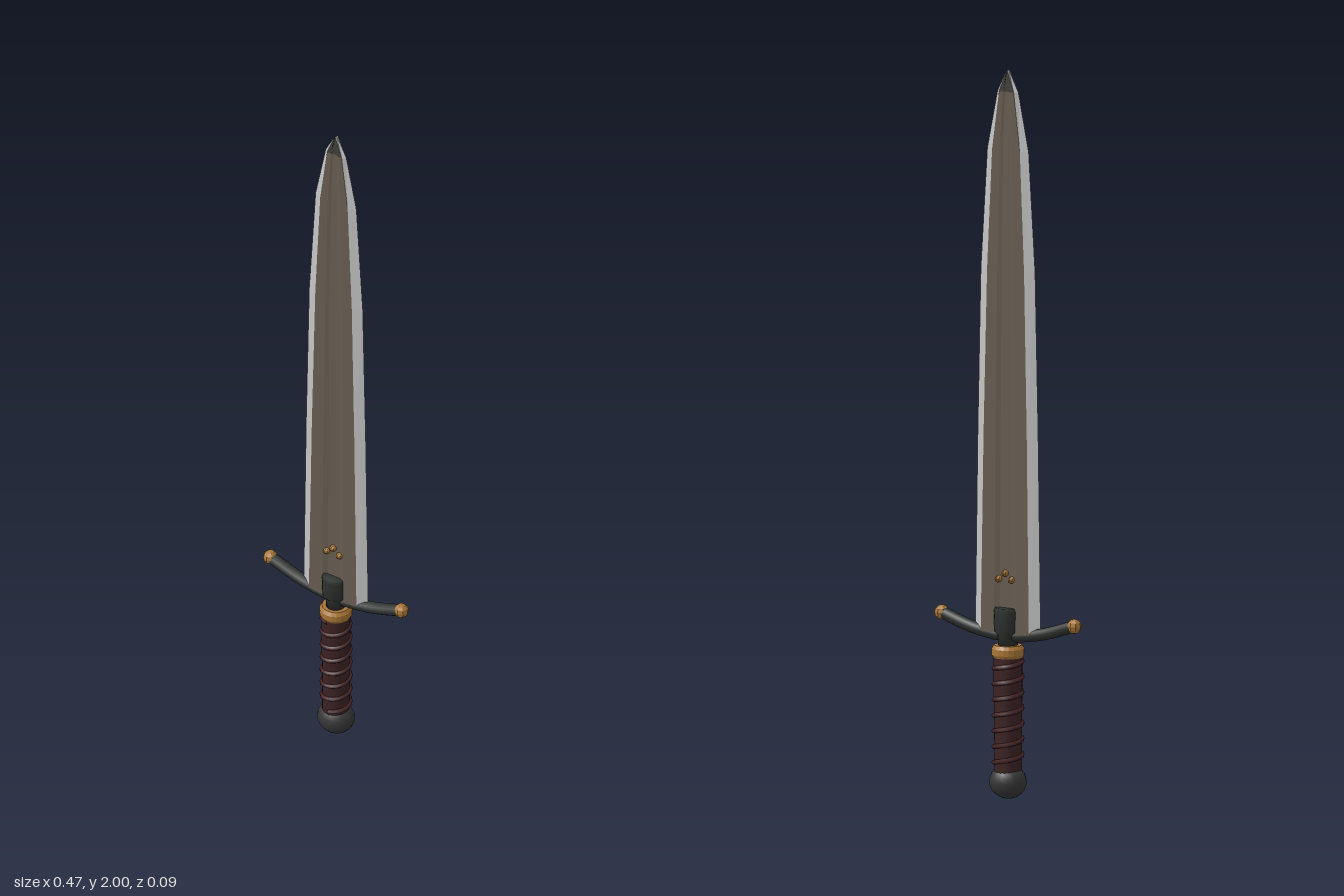
import * as THREE from 'three';

const mat = (name, color, extra = {}) => {
  const m = new THREE.MeshStandardMaterial({ color });
  m.name = name;
  return Object.assign(m, extra);
};

export function createModel() {
  const root = new THREE.Group();
  root.name = 'sword';
  const edgeSteel = mat('edgeSteel', 0xc4c4c4, { flatShading: true });
  const faceSteel = mat('faceSteel', 0x665c50, { flatShading: true });
  const tipSteel = mat('tipSteel', 0x403f3b, { flatShading: true });
  const iron = mat('darkIron', 0x2d312e);
  const pommelIron = mat('pommelIron', 0x363636);
  const brass = mat('brass', 0xa87636, { flatShading: true });
  const leather = mat('leather', 0x3c2223);
  const cord = mat('leatherCord', 0x452527);

  const add = (parent, name, geo, material, x = 0, y = 0, z = 0) => {
    const m = new THREE.Mesh(geo, material);
    m.name = name;
    m.position.set(x, y, z);
    parent.add(m);
    return m;
  };

  // Blade stations: height, half width, half width of the flat, half thickness
  const stations = [
    [0.455, 0.106, 0.078, 0.016],
    [1.0, 0.098, 0.07, 0.014],
    [1.45, 0.088, 0.06, 0.012],
    [1.78, 0.067, 0.045, 0.01],
    [1.94, 0.034, 0.024, 0.008],
    [2.0, 0.002, 0.001, 0.006],
  ];
  // One side of the cross-section: bevel, flat, shallow fuller, flat, bevel
  const section = ([y, w, f, t]) => [
    [-w, 0], [-f, t], [-f * 0.45, t], [-f * 0.25, t * 0.7],
    [f * 0.25, t * 0.7], [f * 0.45, t], [f, t], [w, 0],
  ].map(([x, z]) => new THREE.Vector3(x, y, z));

  // Skin of chosen section strips between two stations
  const skin = (strips, from, to) => {
    const pts = [];
    for (let s = from; s < to; s++) {
      const a = section(stations[s]), b = section(stations[s + 1]);
      for (const i of strips) pts.push(a[i], a[i + 1], b[i + 1], a[i], b[i + 1], b[i]);
    }
    const g = new THREE.BufferGeometry().setFromPoints(pts);
    g.computeVertexNormals();
    return g;
  };

  // Each blade side carries its bevels, flat and three rivets
  for (const side of ['front', 'back']) {
    const half = new THREE.Group();
    half.name = side + 'Blade';
    half.rotation.y = side === 'back' ? Math.PI : 0;
    root.add(half);
    add(half, 'cuttingEdges', skin([0, 6], 0, 5), edgeSteel);
    add(half, 'bladeFace', skin([1, 2, 3, 4, 5], 0, 4), faceSteel);
    add(half, 'bladeTip', skin([1, 2, 3, 4, 5], 4, 5), tipSteel);
    for (const [x, y] of [[-0.021, 0.603], [0, 0.62], [0.021, 0.603]]) {
      const r = add(half, 'rivet', new THREE.SphereGeometry(0.0095, 8, 6), brass, x, y, 0.013);
      r.scale.z = 1.35;
    }
  }

  // Upswept crossguard with brass finials
  const arc = new THREE.CatmullRomCurve3([
    [-0.215, 0.492], [-0.11, 0.46], [0, 0.447], [0.11, 0.46], [0.215, 0.492],
  ].map(([x, y]) => new THREE.Vector3(x, y, 0)));
  add(root, 'crossguard', new THREE.TubeGeometry(arc, 24, 0.017, 10), iron);
  for (const s of [-1, 1]) {
    add(root, 'guardFinial', new THREE.SphereGeometry(0.0205, 8, 6), brass, s * 0.215, 0.492, 0);
  }

  // Guard block that clasps the blade root
  const block = [[0, 0.42], [0.028, 0.42], [0.029, 0.45], [0.038, 0.46], [0.04, 0.515], [0.036, 0.525], [0, 0.525]];
  add(root, 'guardBlock', new THREE.LatheGeometry(
    block.map(([r, y]) => new THREE.Vector2(r, y)), 20), iron).scale.x = 0.95;

  // Brass collar
  const collar = [[0, 0.388], [0.041, 0.388], [0.045, 0.396], [0.045, 0.412], [0.038, 0.422], [0, 0.422]];
  add(root, 'collar', new THREE.LatheGeometry(
    collar.map(([r, y]) => new THREE.Vector2(r, y)), 20), brass);

  // Grip and its spiral cord
  add(root, 'grip', new THREE.CylinderGeometry(0.039, 0.038, 0.32, 20), leather, 0, 0.232, 0);
  const turns = 7, spiral = [];
  for (let i = 0; i <= turns * 12; i++) {
    const a = (i / 12) * Math.PI * 2;
    spiral.push(new THREE.Vector3(
      Math.sin(a) * 0.038, 0.085 + (0.3 * i) / (turns * 12), Math.cos(a) * 0.038));
  }
  add(root, 'gripCord', new THREE.TubeGeometry(
    new THREE.CatmullRomCurve3(spiral), turns * 20, 0.007, 6), cord);

  // Pommel, slightly flattened front to back
  const pommel = add(root, 'pommel', new THREE.SphereGeometry(0.053, 18, 12), pommelIron, 0, 0.047, 0);
  pommel.scale.set(1, 0.047 / 0.053, 0.9);

  return root;
}
